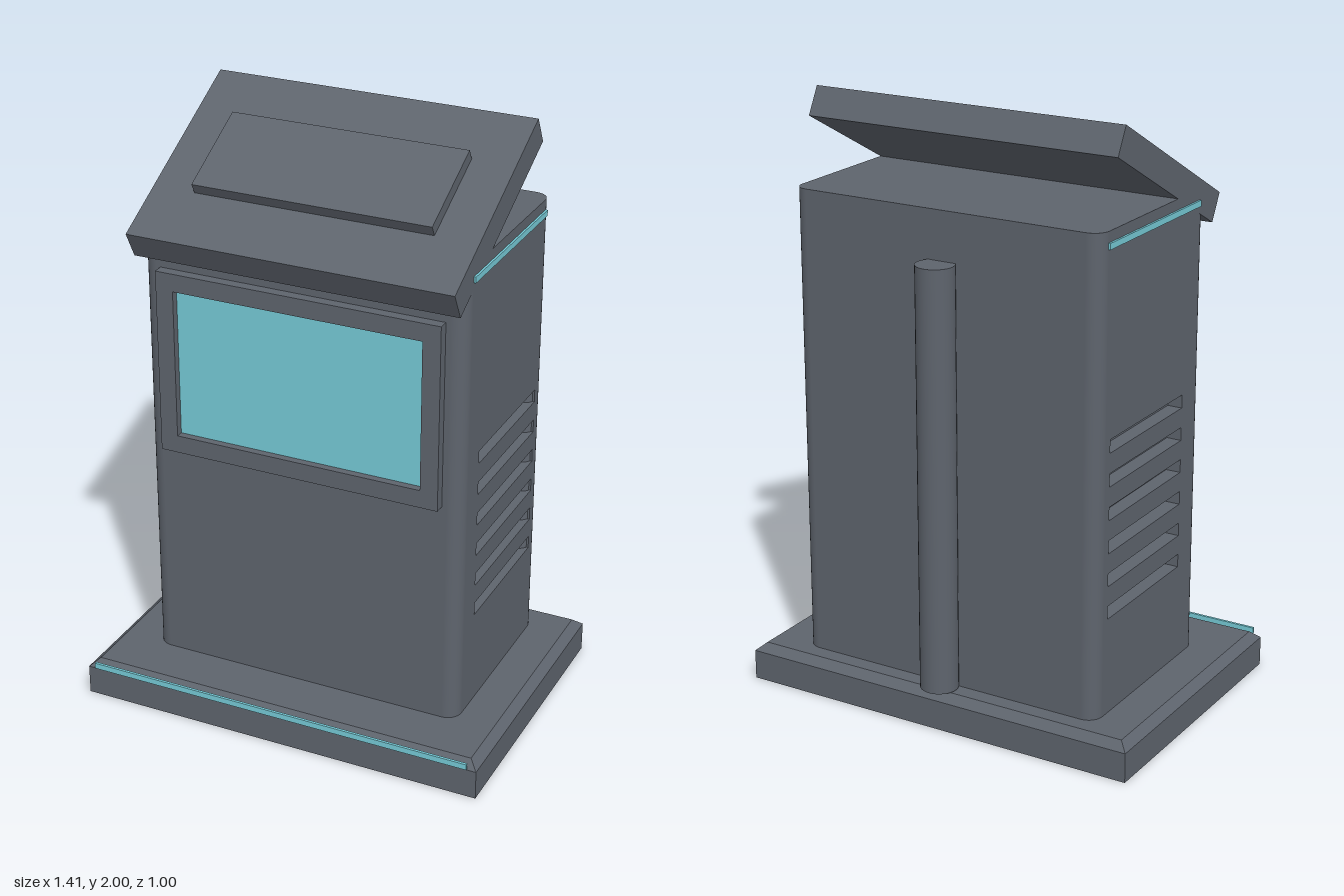
import * as THREE from 'three';

const grey = new THREE.MeshStandardMaterial({ color: 0x5e646d });
grey.name = 'slate grey';
const cyan = new THREE.MeshStandardMaterial({ color: 0x76cad6 });
cyan.name = 'glowing cyan';

export function createModel() {
  const model = new THREE.Group();
  model.name = 'kiosk';

  const add = (name, geometry, material, x, y, z, parent = model) => {
    const mesh = new THREE.Mesh(geometry, material);
    mesh.name = name;
    mesh.position.set(x, y, z);
    parent.add(mesh);
    return mesh;
  };
  const box = (w, h, d) => new THREE.BoxGeometry(w, h, d);
  const rect = (path, x0, y0, x1, y1) => {
    path.moveTo(x0, y0);
    path.lineTo(x1, y0);
    path.lineTo(x1, y1);
    path.lineTo(x0, y1);
    path.closePath();
    return path;
  };

  // Base plate with a bevelled upper rim
  add('basePlate', box(1.41, 0.1, 0.97), grey, 0, 0.05, 0);
  const rim = box(1.41, 0.026, 0.97);
  const p = rim.attributes.position;
  for (let i = 0; i < p.count; i++) {
    if (p.getY(i) > 0) {
      p.setX(i, Math.sign(p.getX(i)) * 0.675);
      p.setZ(i, Math.sign(p.getZ(i)) * 0.455);
    }
  }
  rim.computeVertexNormals();
  add('baseRim', rim, grey, 0, 0.113, 0);
  add('baseLightStrip', box(1.35, 0.02, 0.009), cyan, 0, 0.116, 0.4905);

  // Cabinet: core, rounded corner posts and slotted side panels
  const body = new THREE.Group();
  body.name = 'cabinet';
  model.add(body);
  const bottom = 0.125, top = 1.7, height = top - bottom, midY = (top + bottom) / 2;
  const front = 0.285, back = -0.4, r = 0.05;
  add('core', box(1, height, front - back), grey, 0, midY, (front + back) / 2, body);
  for (const x of [-0.5, 0.5]) {
    for (const z of [front - r, back + r]) {
      add('roundedCorner', new THREE.CylinderGeometry(r, r, height, 32), grey, x, midY, z, body);
    }
  }

  const panelShape = rect(new THREE.Shape(), back + r, bottom, front - r, top);
  for (let i = 0; i < 6; i++) {
    const y = 0.473 + i * 0.11;
    panelShape.holes.push(rect(new THREE.Path(), -0.325, y - 0.022, 0.15, y + 0.022));
  }
  const panel = new THREE.ExtrudeGeometry(panelShape, { depth: 0.05, bevelEnabled: false });
  panel.rotateY(-Math.PI / 2);
  add('leftVentPanel', panel, grey, 0.55, 0, 0, body);
  add('rightVentPanel', panel, grey, -0.5, 0, 0, body);

  // Light strips along the upper sides
  for (const s of [-1, 1]) {
    add(s > 0 ? 'leftLightStrip' : 'rightLightStrip', box(0.009, 0.02, 0.59), cyan, s * 0.5525, 1.655, -0.06);
  }

  // Screen set back inside its frame
  const frameShape = rect(new THREE.Shape(), -0.485, 0.9, 0.485, 1.525);
  frameShape.holes.push(rect(new THREE.Path(), -0.425, 0.96, 0.425, 1.465));
  add('screenFrame', new THREE.ExtrudeGeometry(frameShape, { depth: 0.035, bevelEnabled: false }), grey, 0, 0, front);
  add('screen', box(0.85, 0.505, 0.008), cyan, 0, 1.2125, front + 0.006);

  // Tilted console lid with a raised pad
  const lid = new THREE.Group();
  lid.name = 'console';
  lid.position.set(0, 1.784, 0.037);
  lid.rotation.x = 0.49;
  model.add(lid);
  add('consoleSlab', box(1.1, 0.1, 0.72), grey, 0, 0, 0, lid);
  add('consolePad', box(0.81, 0.04, 0.315), grey, 0, 0.068, -0.003, lid);

  // Vertical pipe on the back
  add('backPipe', new THREE.CylinderGeometry(0.0625, 0.0625, 1.41, 32), grey, 0, 0.835, -0.4375);

  return model;
}
